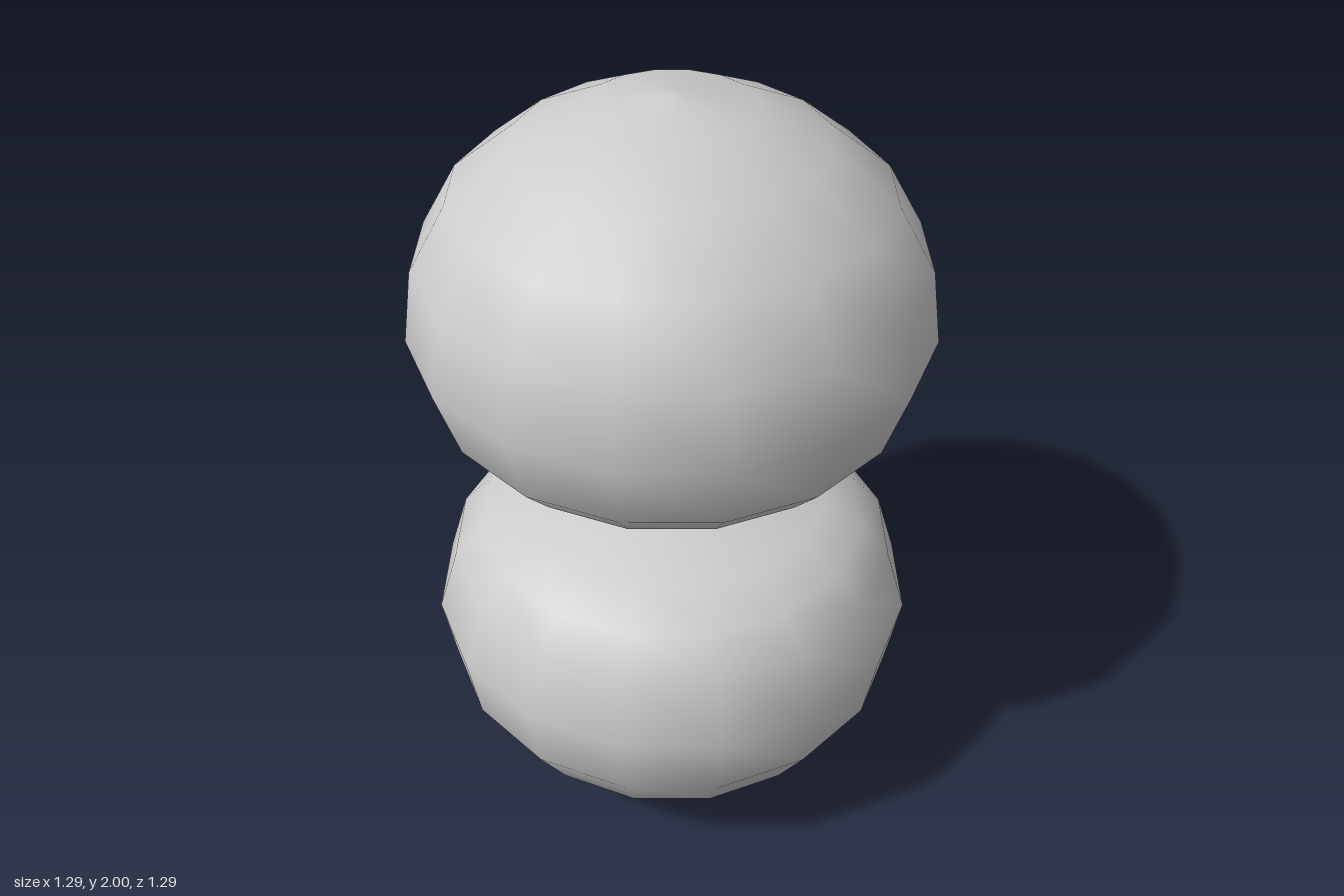
import * as THREE from 'three';

export function createModel() {
  const group = new THREE.Group();
  const material = new THREE.MeshStandardMaterial({ color: 0xcccccc });

  // Lobe profile from its pointed inner tip to its domed outer end (radius, height from centre)
  const profile = [
    [0, 0.012], [0.037, 0.027], [0.196, 0.05], [0.41, 0.107], [0.51, 0.17], [0.587, 0.254],
    [0.643, 0.43], [0.614, 0.614], [0.52, 0.774], [0.37, 0.89], [0.196, 0.97], [0, 1],
  ].map(([r, h]) => new THREE.Vector2(r, h));
  const lobe = new THREE.LatheGeometry(profile, 16);

  // Two identical lobes, tip to tip
  const addLobe = (name, turn) => {
    const mesh = new THREE.Mesh(lobe, material);
    mesh.name = name;
    mesh.position.y = 1;
    mesh.rotation.x = turn;
    group.add(mesh);
  };
  addLobe('upperLobe', 0);
  addLobe('lowerLobe', Math.PI);

  return group;
}
